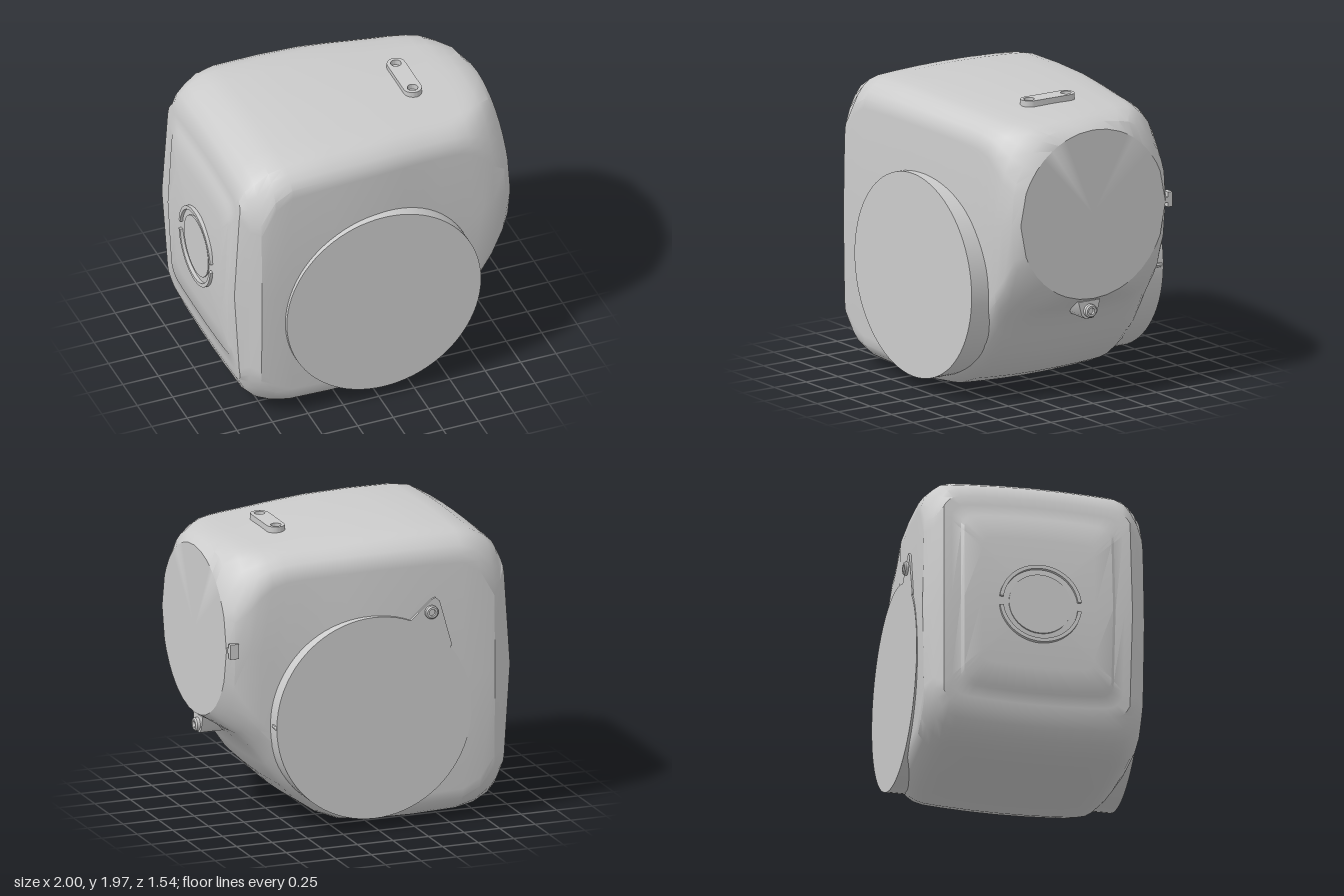
import * as THREE from 'three';
import { toCreasedNormals } from 'three/addons/utils/BufferGeometryUtils.js';

const material = new THREE.MeshStandardMaterial({ color: 0xcccccc, side: THREE.DoubleSide });

function add(parent, name, geometry, x = 0, y = 0, z = 0) {
  const mesh = new THREE.Mesh(toCreasedNormals(geometry, 0.55), material);
  mesh.name = name;
  mesh.position.set(x, y, z);
  parent.add(mesh);
  return mesh;
}

// Housing stations: x, top, bottom, half width, top bevel, bottom bevel, side bevel, roundness
const stations = [
  [-0.97, 1.77, 0.23, 0.63, 0.12, 0.12, 0.09, 0],
  [-0.88, 1.84, 0.15, 0.69, 0.28, 0.25, 0.12, 0],
  [-0.82, 1.89, 0.09, 0.742, 0.34, 0.28, 0.16, 0],
  [-0.72, 1.945, 0.04, 0.745, 0.22, 0.2, 0.165, 0],
  [-0.6, 1.965, 0.015, 0.74, 0.17, 0.16, 0.165, 0],
  [-0.3, 1.97, 0.002, 0.735, 0.165, 0.16, 0.165, 0],
  [0, 1.962, 0.004, 0.72, 0.16, 0.16, 0.155, 0],
  [0.2, 1.952, 0.02, 0.695, 0.16, 0.17, 0.15, 0],
  [0.35, 1.943, 0.08, 0.675, 0.16, 0.18, 0.15, 0],
  [0.48, 1.934, 0.17, 0.66, 0.16, 0.2, 0.15, 0],
  [0.6, 1.927, 0.29, 0.65, 0.165, 0.22, 0.15, 0],
  [0.7, 1.921, 0.43, 0.64, 0.19, 0.24, 0.155, 0],
  [0.78, 1.917, 0.55, 0.636, 0.25, 0.2, 0.18, 0],
  [0.86, 1.914, 0.62, 0.632, 0.33, 0.22, 0.22, 0.08],
  [0.95, 1.905, 0.665, 0.625, 0.38, 0.32, 0.27, 0.35],
  [1, 1.85, 0.71, 0.57, 0.3, 0.3, 0.25, 1],
];

// Bevelled section that blends to a circle at the round joint face
function section([x, top, bottom, w, bevelTop, bevelBottom, bevelSide, round]) {
  const mid = (top + bottom) / 2;
  const quarter = (edge, bevel, s) => {
    const flat = w - bevelSide;
    const pts = [0, 0.35, 0.7, 0.93].map((f) => [flat * f, edge - s * 0.024 * f * f]);
    for (const a of [0.12, 0.37, 0.63, 0.9]) {
      const bulge = 0.1 * Math.sin(Math.PI * a);
      pts.push([flat + bevelSide * 0.97 * Math.min(1, a + bulge),
        edge - s * (0.024 + (bevel - 0.024) * Math.max(0, a - bulge))]);
    }
    pts.push([w * 0.988, edge - s * (bevel + 0.04)]);
    return pts;
  };
  const half = [...quarter(top, bevelTop, 1), [w, mid], ...quarter(bottom, bevelBottom, -1).reverse()];
  const loop = [...half, ...half.slice(1, -1).reverse().map(([z, y]) => [-z, y])];
  return loop.map(([z, y]) => {
    const a = Math.atan2(y - mid, z);
    return new THREE.Vector3(x,
      THREE.MathUtils.lerp(y, mid + 0.57 * Math.sin(a), round),
      THREE.MathUtils.lerp(z, 0.57 * Math.cos(a), round));
  });
}

function housingGeometry() {
  const rings = stations.map(section);
  // Gently curved end with a raised inner panel
  const endX = (y) => -0.97 + 0.06 * ((y - 1) / 0.77) ** 2;
  rings[0].forEach((p) => { p.x = endX(p.y); });
  const edge = rings[0];
  const cap = [[0, 0.012], [0.3, 0.012], [0.6, 0.012], [0.79, 0.012], [0.82, 0], [0.92, 0]].map(([k, lift]) =>
    edge.map((p) => {
      const y = 1 + (p.y - 1) * k;
      return new THREE.Vector3(endX(y) - lift, y, p.z * k);
    }));
  const last = rings[rings.length - 1];
  const all = [...cap, ...rings, last.map(() => new THREE.Vector3(1, 1.28, 0))];
  const n = edge.length, index = [];
  for (let i = 0; i < all.length - 1; i++) {
    for (let j = 0; j < n; j++) {
      const a = i * n + j, b = i * n + (j + 1) % n;
      index.push(a, b, a + n, b, b + n, a + n);
    }
  }
  const g = new THREE.BufferGeometry().setFromPoints(all.flat());
  g.setIndex(index);
  return g;
}

function extrude(shape, depth, bevel = 0) {
  return new THREE.ExtrudeGeometry(shape, {
    depth, curveSegments: 16, bevelEnabled: bevel > 0,
    bevelSize: bevel, bevelThickness: bevel, bevelOffset: -bevel, bevelSegments: 2,
  });
}

function polygon(points) {
  return new THREE.Shape(points.map(([x, y]) => new THREE.Vector2(x, y)));
}

// Socket screw along +z: a short head with a recessed socket
function screwGeometry(r, depth) {
  const profile = [[0, depth * 0.4], [r * 0.5, depth * 0.4], [r * 0.5, depth], [r * 0.8, depth], [r, depth * 0.7], [r, 0]];
  return new THREE.LatheGeometry(profile.map(([a, b]) => new THREE.Vector2(a, b)), 20).rotateX(Math.PI / 2);
}

export function createModel() {
  const model = new THREE.Group();
  model.name = 'jointHousing';
  add(model, 'housing', housingGeometry());

  // Round output flanges on the front and back
  for (const [name, z, depth] of [['frontFlange', 0.765, 0.25], ['backFlange', -0.745, -0.25]]) {
    add(model, name, new THREE.CylinderGeometry(0.685, 0.685, 0.25, 80).rotateX(Math.PI / 2), 0.03, 0.77, z - depth / 2);
  }

  // Pointed tab with a screw beside the back flange
  const tab = polygon([[-0.52, 1.2], [-0.43, 1.52], [-0.4, 1.545], [-0.37, 1.53], [-0.2, 1.38], [-0.2, 1.2]]);
  add(model, 'backTab', extrude(tab, 0.06), 0, 0, -0.745);
  add(model, 'backTabScrew', screwGeometry(0.045, 0.03).rotateY(Math.PI), -0.37, 1.45, -0.742);
  // Index pin on the rim of the back flange
  const pin = new THREE.CapsuleGeometry(0.02, 0.04, 4, 10).rotateX(Math.PI / 2);
  add(model, 'backIndexPin', pin, 0.703, 0.77, -0.705);

  // Top boss with two screw holes
  const boss = new THREE.Shape();
  boss.absarc(0, 0.14, 0.062, 0, Math.PI, false);
  boss.absarc(0, -0.14, 0.062, Math.PI, Math.PI * 2, false);
  for (const y of [-0.145, 0.145]) {
    const hole = new THREE.Path();
    hole.absarc(0, y, 0.035, 0, Math.PI * 2, true);
    boss.holes.push(hole);
  }
  add(model, 'topBoss', extrude(boss, 0.065).rotateX(-Math.PI / 2), 0.48, 1.904, 0.01);

  // Shield-shaped lug and screw under the round joint face
  const lug = polygon([[-0.085, 0.69], [0.085, 0.69], [0.06, 0.6], [0.03, 0.572], [-0.03, 0.572], [-0.06, 0.6]]);
  add(model, 'lowerLug', extrude(lug, 0.2).rotateY(Math.PI / 2), 0.77, 0, 0.01);
  add(model, 'lowerLugScrew', screwGeometry(0.045, 0.032).rotateY(Math.PI / 2), 0.968, 0.625, 0.01);

  // Index mark at the edge of the round joint face
  const mark = new THREE.Group();
  mark.name = 'sideIndexMark';
  mark.position.set(0.965, 1.29, -0.6);
  add(mark, 'markBlock', new THREE.BoxGeometry(0.06, 0.1, 0.035), 0, 0, -0.012);
  add(mark, 'markPin', new THREE.BoxGeometry(0.06, 0.035, 0.06), 0, 0, 0.01);
  model.add(mark);

  // Round cover on the end panel, ringed by two arcs
  const cover = new THREE.Group();
  cover.name = 'endCover';
  for (const start of [0.12, Math.PI + 0.12]) {
    const end = start + Math.PI - 0.24;
    const arc = new THREE.Shape();
    arc.absarc(0, 0, 0.275, start, end, false);
    arc.absarc(0, 0, 0.25, end, start, true);
    add(cover, 'coverArc', extrude(arc, 0.03).rotateY(-Math.PI / 2), -0.97, 0.99, 0.01);
  }
  const disc = new THREE.CylinderGeometry(0.21, 0.21, 0.03, 40).rotateZ(Math.PI / 2);
  add(cover, 'coverDisc', disc, -0.973, 0.99, 0.01);
  model.add(cover);

  return model;
}
